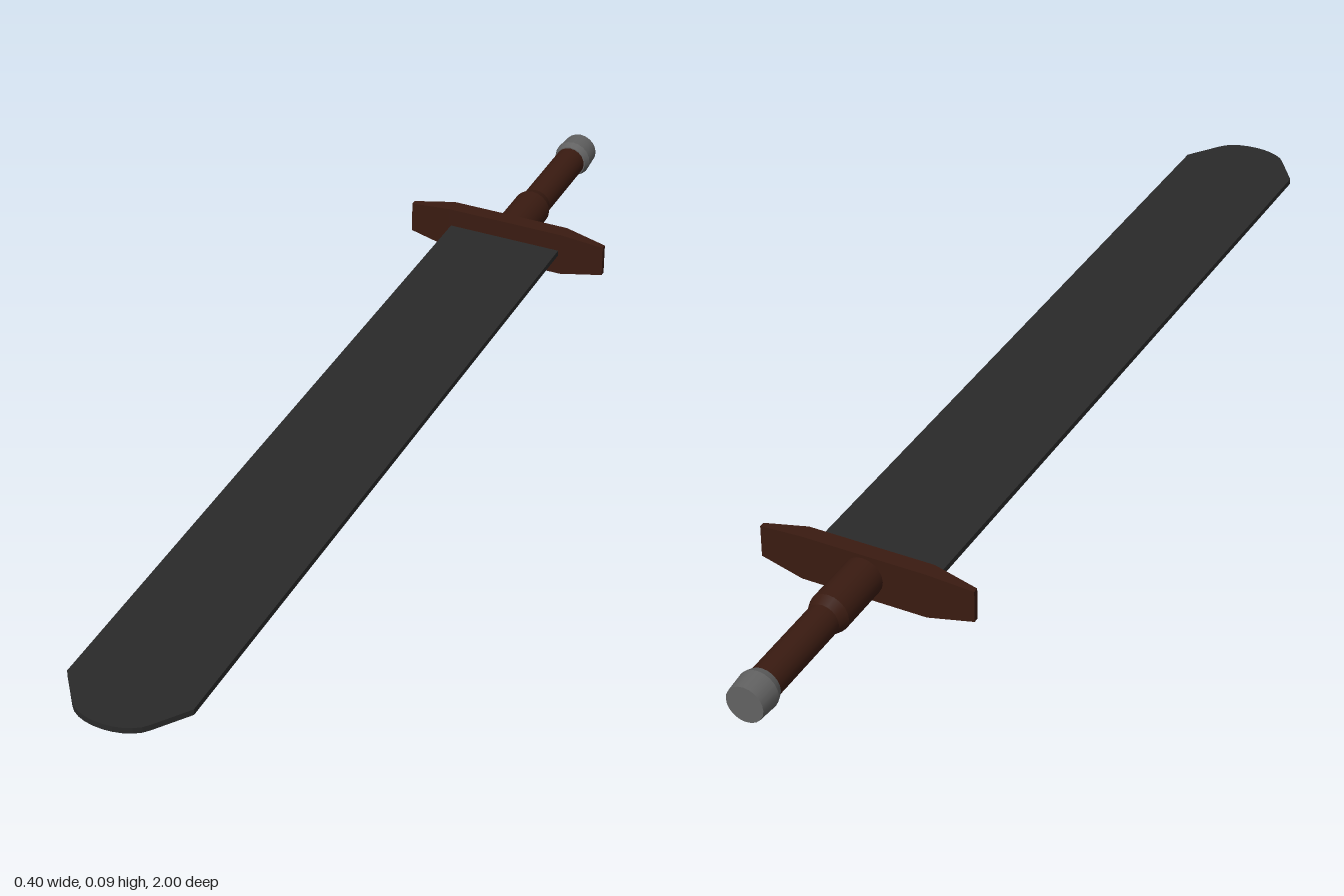
import * as THREE from 'three';

const AXIS_Y = 0.044; // height of the sword's long axis

function part(name, geometry, color, flatShading = false) {
  const mesh = new THREE.Mesh(geometry, new THREE.MeshStandardMaterial({ color, flatShading }));
  mesh.name = name;
  return mesh;
}

// Round part along -z; profile is [radius, distance behind the origin].
// Doubled rings keep the edges between bands sharp.
function turned(profile) {
  const points = profile.flatMap(([r, d], i) => {
    const p = new THREE.Vector2(r, d);
    return i > 0 && i < profile.length - 1 ? [p, p.clone()] : [p];
  });
  return new THREE.LatheGeometry(points, 20).rotateX(-Math.PI / 2).translate(0, AXIS_Y, 0);
}

// Thin flat blade with a clipped, rounded tip
function bladeGeometry() {
  const s = new THREE.Shape();
  s.moveTo(-0.113, -0.61);
  s.lineTo(0.113, -0.61);
  s.lineTo(0.113, 0.91);
  s.lineTo(0.07, 0.97);
  s.bezierCurveTo(0.045, 1.0, -0.045, 1.0, -0.07, 0.97);
  s.lineTo(-0.113, 0.91);
  s.closePath();
  const g = new THREE.ExtrudeGeometry(s, { depth: 0.011, bevelEnabled: false, curveSegments: 10 });
  g.rotateX(Math.PI / 2);
  // stretch the tip curve to its full length
  const p = g.attributes.position;
  for (let i = 0; i < p.count; i++) {
    const z = p.getZ(i);
    if (z > 0.97) p.setZ(i, 0.97 + (z - 0.97) * (0.03 / 0.0225));
  }
  return g.translate(0, 0.051, 0);
}

// Bar whose two ends taper in height and thickness
function guardGeometry() {
  const g = new THREE.BoxGeometry(0.402, 0.087, 0.03, 3, 1, 1);
  const p = g.attributes.position;
  for (let i = 0; i < p.count; i++) {
    const x = p.getX(i);
    if (Math.abs(x) > 0.15) {
      p.setY(i, p.getY(i) * 0.7);
      p.setZ(i, p.getZ(i) * 0.35);
    } else {
      p.setX(i, Math.sign(x) * 0.118);
    }
  }
  return g.translate(0, 0.0435, -0.614);
}

export function createModel() {
  const group = new THREE.Group();
  group.name = 'sword';
  group.add(part('blade', bladeGeometry(), 0x2a2a2a, true));
  group.add(part('guard', guardGeometry(), 0x3a1b11, true));
  // grip with a thicker collar next to the guard
  group.add(part('grip', turned([[0, 0.62], [0.037, 0.62], [0.037, 0.74], [0.03, 0.76], [0.03, 0.96], [0, 0.96]]), 0x3a1b11));
  // pommel cap
  group.add(part('pommel', turned([[0, 0.944], [0.032, 0.944], [0.037, 0.958], [0.034, 1], [0, 1]]), 0x626262));
  return group;
}
